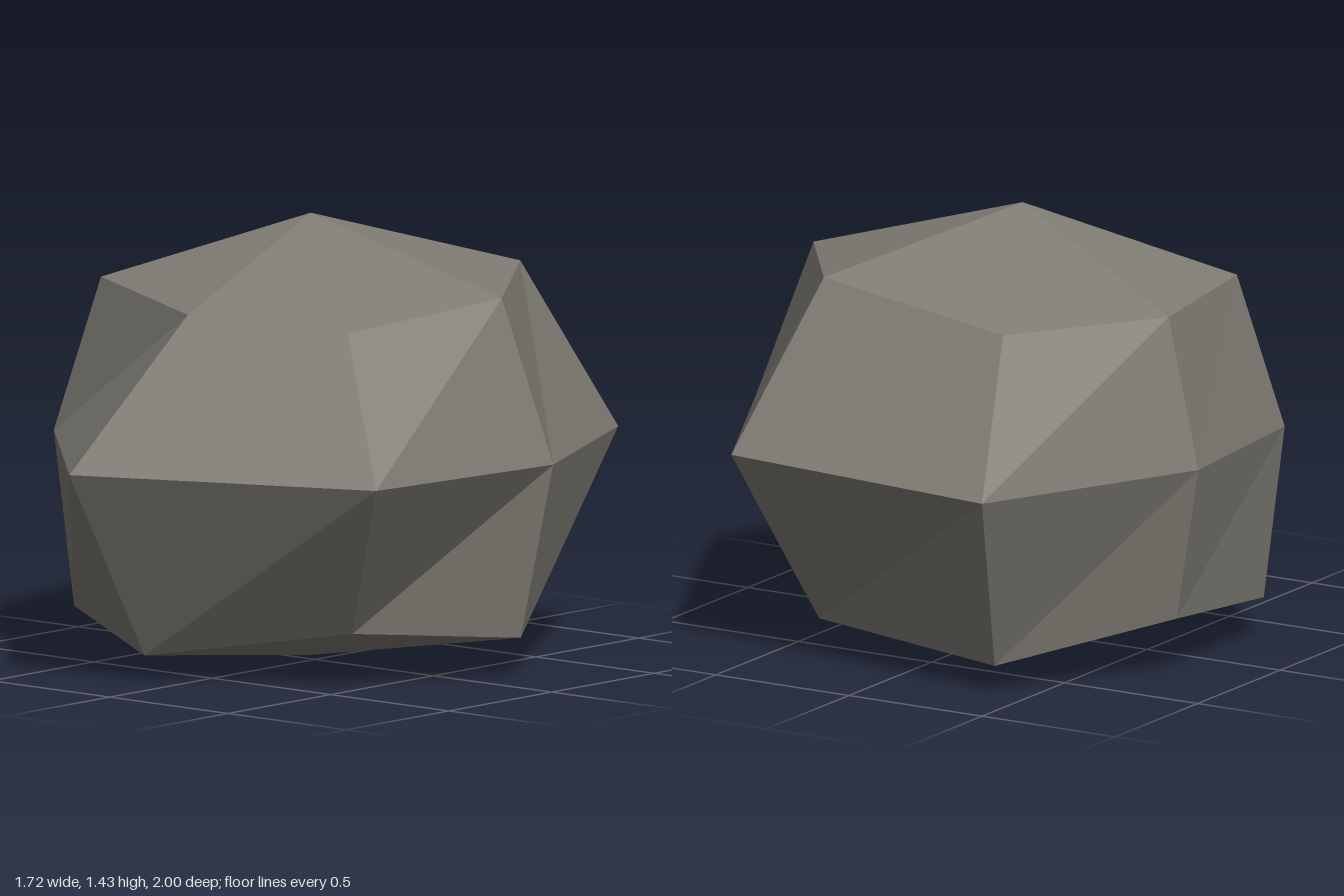
import * as THREE from 'three';

// Rings of seven corners each, listed left-back to front to right to back.
const BELT = [[-0.86, 0.70, -0.27], [-0.80, 0.70, 0.35], [-0.17, 0.70, 1.0], [0.78, 0.70, 0.60],
  [0.86, 0.70, -0.17], [0.51, 0.70, -0.89], [-0.50, 0.70, -1.0]];
const SHOULDER = [[-0.73, 1.18, -0.24], [-0.67, 1.20, 0.27], [-0.12, 1.16, 0.48], [0.39, 1.13, 0.29],
  [0.66, 1.22, -0.15], [0.33, 1.25, -0.62], [-0.30, 1.13, -0.55]];
const FOOT = [[-0.76, 0.19, -0.24], [-0.74, 0.135, 0.32], [-0.14, 0.08, 0.67], [0.48, 0.178, 0.37],
  [0.74, 0.13, -0.15], [0.335, 0.13, -0.64], [-0.38, 0.09, -0.73]];
const PEAK = [-0.07, 1.43, -0.06];
const BASE = [-0.07, 0, -0.06];

// Joins neighbouring rings, bottom to top; a pole is a ring of one repeated point.
function loft(rings) {
  const positions = [];
  const addTriangle = (a, b, c) => {
    if (a !== b && b !== c && c !== a) positions.push(...a, ...b, ...c);
  };
  for (let r = 0; r < rings.length - 1; r++) {
    const low = rings[r], high = rings[r + 1];
    for (let i = 0; i < low.length; i++) {
      const j = (i + 1) % low.length;
      addTriangle(low[i], low[j], high[j]);
      addTriangle(low[i], high[j], high[i]);
    }
  }
  const geometry = new THREE.BufferGeometry();
  geometry.setAttribute('position', new THREE.Float32BufferAttribute(positions, 3));
  geometry.computeVertexNormals();
  return geometry;
}

export function createModel() {
  const stone = new THREE.MeshStandardMaterial({ color: 0x7d7a72 });
  stone.name = 'stone grey';
  stone.flatShading = true;

  // Boulder
  const pole = (point) => BELT.map(() => point);
  const boulder = new THREE.Mesh(loft([pole(BASE), FOOT, BELT, SHOULDER, pole(PEAK)]), stone);
  boulder.name = 'boulder';

  const group = new THREE.Group();
  group.name = 'rock';
  group.add(boulder);
  return group;
}
